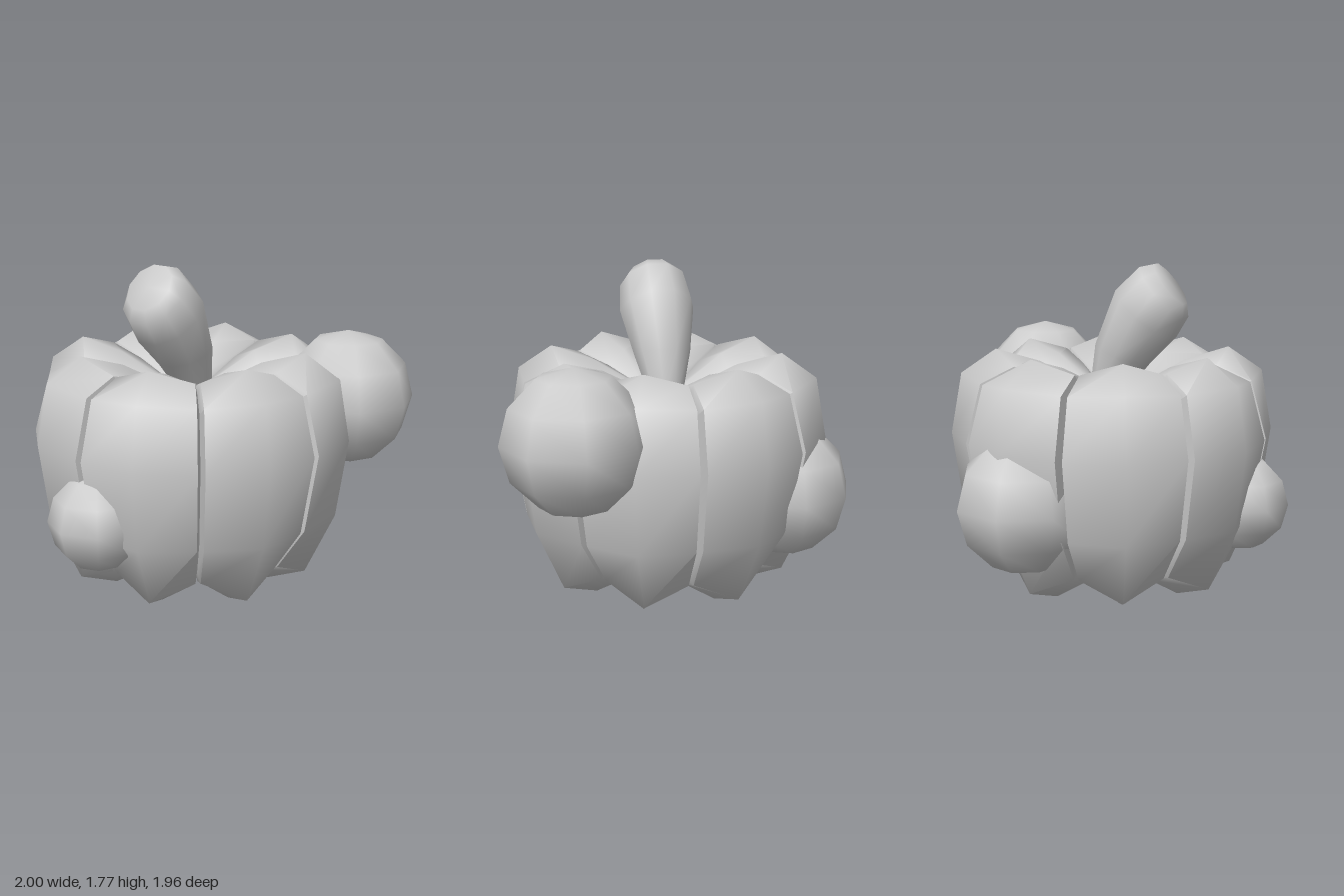
import * as THREE from 'three';
import { toCreasedNormals } from 'three/addons/utils/BufferGeometryUtils.js';

const material = new THREE.MeshStandardMaterial({ color: 0xcccccc });

// Rib profiles as [radius, height], bottom centre to top centre
const CREST = [[0, 0.12], [0.25, 0.09], [0.46, 0], [0.67, 0.07], [0.83, 0.42], [0.89, 0.85],
  [0.83, 1.18], [0.64, 1.31], [0.4, 1.24], [0.14, 1.1], [0, 1.07]];
const EDGE = [[0, 0.12], [0.25, 0.12], [0.42, 0.1], [0.61, 0.17], [0.78, 0.42], [0.855, 0.85],
  [0.77, 1.16], [0.58, 1.24], [0.37, 1.18], [0.14, 1.08], [0, 1.07]];
const GROOVE = [[0, 0.12], [0.24, 0.13], [0.39, 0.14], [0.55, 0.22], [0.7, 0.43], [0.77, 0.85],
  [0.69, 1.11], [0.53, 1.17], [0.35, 1.13], [0.14, 1.07], [0, 1.07]];

// Joins equal-length rows of points into a surface, skipping collapsed triangles
function skin(rows, creaseAngle) {
  const positions = [];
  const triangle = (a, b, c) => {
    const area = b.clone().sub(a).cross(c.clone().sub(a)).length();
    if (area > 1e-7) for (const p of [a, b, c]) positions.push(p.x, p.y, p.z);
  };
  for (let r = 0; r < rows.length - 1; r++) {
    for (let c = 0; c < rows[r].length - 1; c++) {
      triangle(rows[r][c], rows[r][c + 1], rows[r + 1][c + 1]);
      triangle(rows[r][c], rows[r + 1][c + 1], rows[r + 1][c]);
    }
  }
  const geometry = new THREE.BufferGeometry();
  geometry.setAttribute('position', new THREE.Float32BufferAttribute(positions, 3));
  return toCreasedNormals(geometry, creaseAngle);
}

function ribGeometry() {
  const half = Math.PI / 8;
  const columns = [[GROOVE, -half], [EDGE, -half + 0.022], [CREST, 0], [EDGE, half - 0.022], [GROOVE, half]];
  const rows = CREST.map((_, i) => columns.map(([profile, angle]) => {
    const [radius, y] = profile[i];
    return new THREE.Vector3(radius * Math.sin(angle), y, radius * Math.cos(angle));
  }));
  return skin(rows, 1.15);
}

// Flared stem leaning to -x: rings as [x, y, radius, lean in degrees]
function stemGeometry() {
  const rings = [[0.03, 1.04, 0.09, 8], [-0.07, 1.28, 0.16, 20], [-0.2, 1.5, 0.21, 40],
    [-0.3, 1.62, 0.19, 48], [-0.335, 1.665, 0.14, 52], [-0.337, 1.667, 0, 52]];
  const sides = 10;
  const rows = rings.map(([x, y, radius, lean]) => {
    const t = THREE.MathUtils.degToRad(lean);
    return Array.from({ length: sides + 1 }, (_, i) => {
      const a = ((i % sides) / sides) * Math.PI * 2;
      const across = radius * Math.sin(a);
      return new THREE.Vector3(x + across * Math.cos(t), y + across * Math.sin(t), radius * Math.cos(a));
    });
  });
  return skin(rows, 1.15);
}

export function createModel() {
  const model = new THREE.Group();
  model.name = 'pumpkin';

  // Eight identical ribs, with grooves on the main axes
  const body = new THREE.Group();
  body.name = 'body';
  body.position.x = -0.012;
  const ribShape = ribGeometry();
  for (let i = 0; i < 8; i++) {
    const rib = new THREE.Mesh(ribShape, material);
    rib.name = `rib${i + 1}`;
    rib.rotation.y = (i + 0.5) * Math.PI / 4;
    body.add(rib);
  }
  model.add(body);

  const stem = new THREE.Mesh(stemGeometry(), material);
  stem.name = 'stem';
  model.add(stem);

  // Round growths half sunk into the ribs
  const growths = [
    ['frontLeftGrowth', 0.375, [0.622, 1, 0.6]],
    ['backGrowth', 0.37, [0.27, 0.56, -0.61]],
    ['rightGrowth', 0.263, [-0.737, 0.5, 0]],
  ];
  for (const [name, radius, position] of growths) {
    const growth = new THREE.Mesh(new THREE.SphereGeometry(radius, 8, 6), material);
    growth.name = name;
    growth.position.set(...position);
    model.add(growth);
  }
  return model;
}
